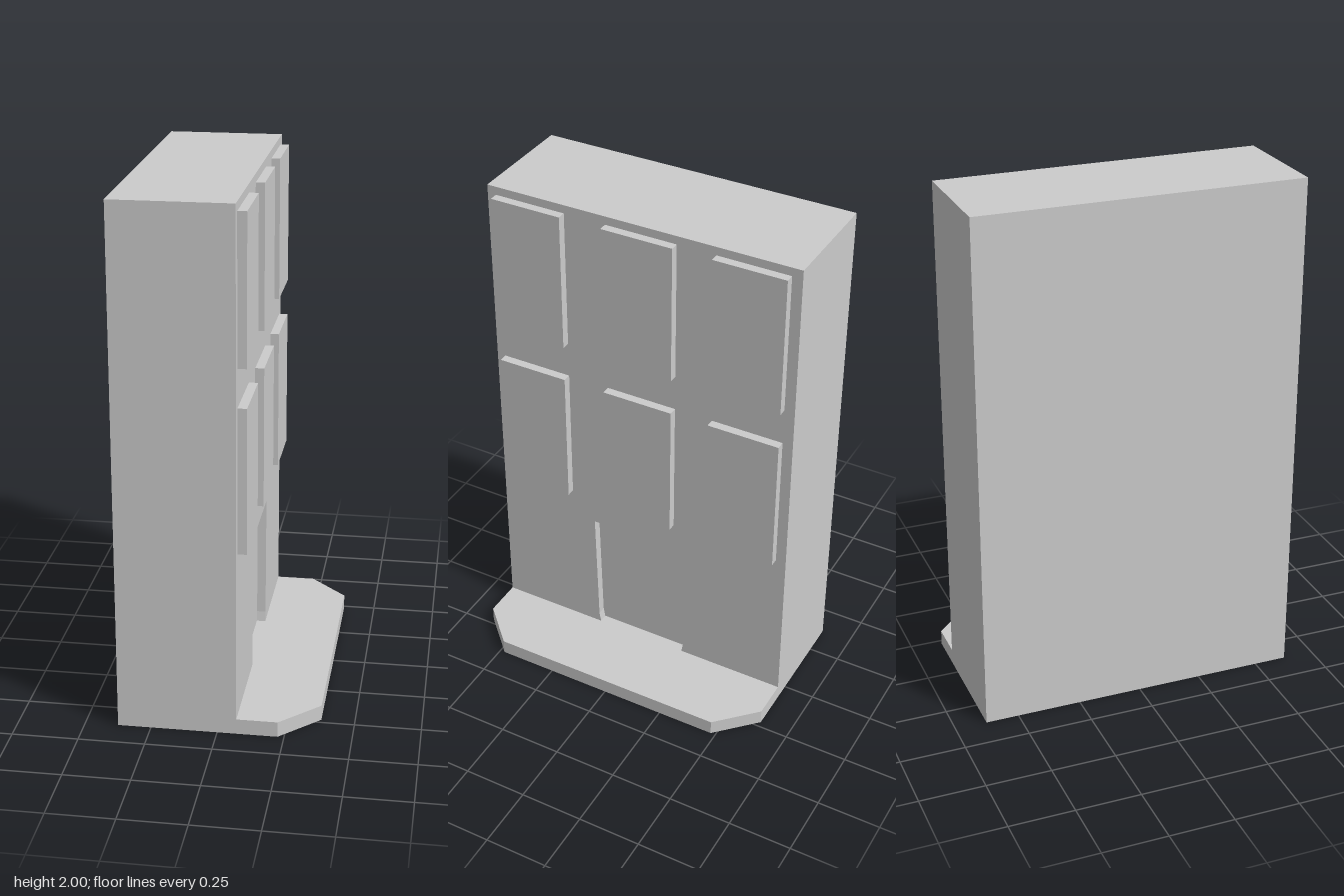
import * as THREE from 'three';
import { ConvexGeometry } from 'three/addons/geometries/ConvexGeometry.js';

const BACK = -0.375, FRONT = 0.072, RECESS = 0.037; // x planes of the building
const HALF = 0.628, STEP = 0.06, TOP = 2;           // half width, base height, roof height

export function createModel() {
  const group = new THREE.Group();
  const material = new THREE.MeshStandardMaterial({ color: 0xcccccc, flatShading: true });

  const add = (name, geometry) => {
    const mesh = new THREE.Mesh(geometry, material);
    mesh.name = name;
    group.add(mesh);
    return mesh;
  };
  const box = (name, x0, x1, y0, y1, z0, z1) =>
    add(name, new THREE.BoxGeometry(x1 - x0, y1 - y0, z1 - z0))
      .position.set((x0 + x1) / 2, (y0 + y1) / 2, (z0 + z1) / 2);
  const extrude = (points, depth) => new THREE.ExtrudeGeometry(
    new THREE.Shape(points.map(([x, y]) => new THREE.Vector2(x, y))),
    { depth, bevelEnabled: false });

  // Base slab under the building, with clipped front corners
  add('base', extrude([
    [BACK, -HALF], [0.226, -HALF], [0.374, -0.48],
    [0.374, 0.48], [0.226, HALF], [BACK, HALF],
  ], STEP).rotateX(-Math.PI / 2));

  // Main block
  box('building', BACK, RECESS, STEP, TOP, -HALF, HALF);

  // Facade layer with a slightly tapered doorway cut out of its bottom edge
  const facade = extrude([
    [-HALF, STEP], [-0.19, STEP], [-0.197, 0.1], [-0.209, 0.59],
    [0.209, 0.59], [0.197, 0.1], [0.19, STEP], [HALF, STEP],
    [HALF, TOP], [-HALF, TOP],
  ], FRONT - RECESS);
  add('facade', facade.rotateY(Math.PI / 2)).position.x = RECESS;

  // Small slanted fillets in the upper corners of the doorway
  for (const s of [-1, 1]) {
    add('doorCorner', new ConvexGeometry([
      new THREE.Vector3(RECESS, 0.59, s * 0.209),
      new THREE.Vector3(FRONT, 0.59, s * 0.209),
      new THREE.Vector3(RECESS, 0.59, s * 0.175),
      new THREE.Vector3(RECESS, 0.558, s * 0.208),
    ]));
  }

  // Two rows of three raised windows
  for (const y of [0.712, 1.412]) {
    for (const z of [-0.587, -0.148, 0.307]) {
      box('window', FRONT, 0.106, y, y + 0.555, z, z + 0.286);
    }
  }
  return group;
}
